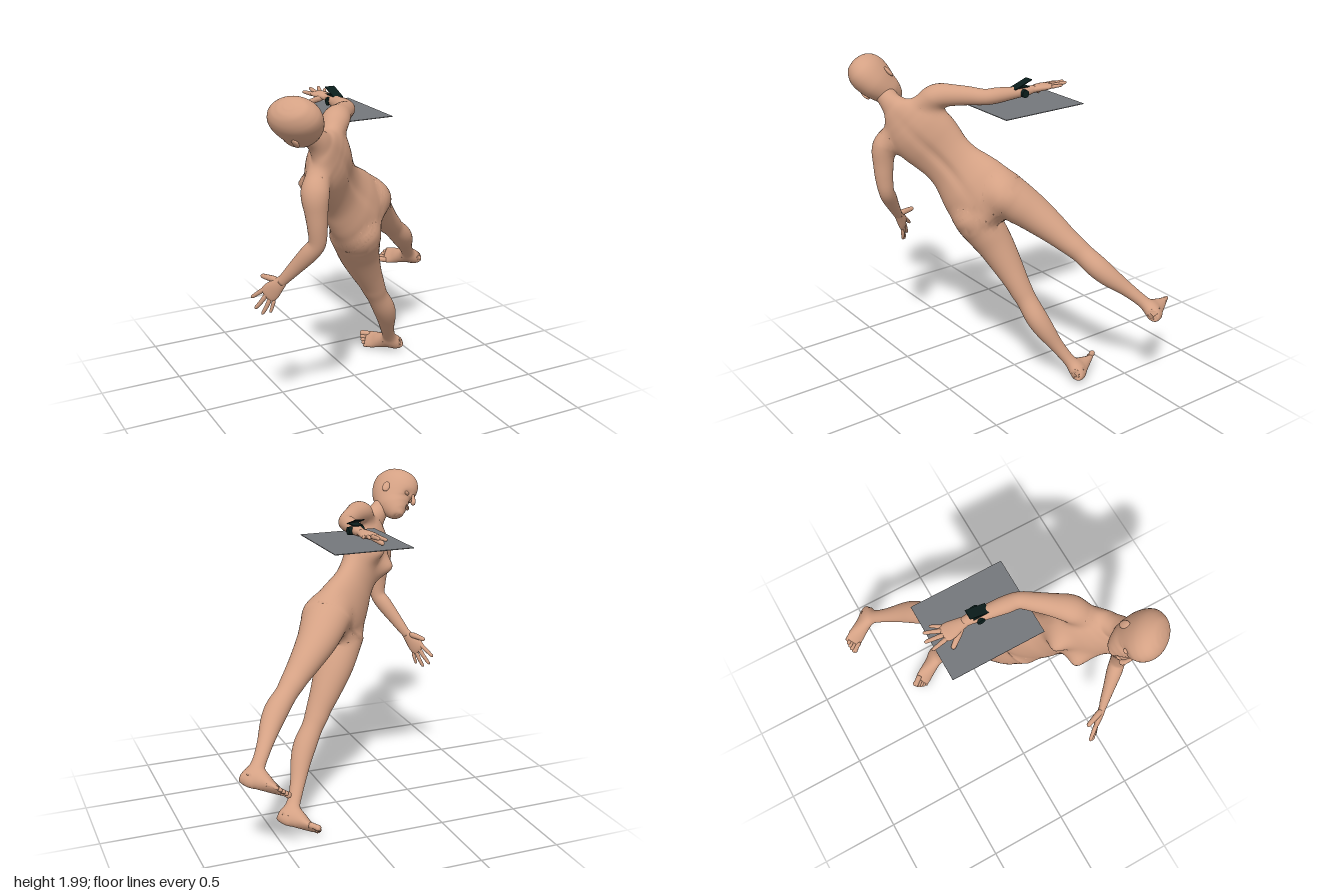
import * as THREE from 'three';

const V = (x, y, z) => new THREE.Vector3(x, y, z);
const { clamp, smoothstep } = THREE.MathUtils;

// Oval rings along a smooth path through sections [x, y, z, halfWidth, halfDepth];
// 'ref' is the direction in which halfDepth is measured.
function sweep(sections, ref, steps = 4) {
  const path = new THREE.CatmullRomCurve3(sections.map(s => V(s[0], s[1], s[2])), false, 'catmullrom');
  const size = new THREE.CatmullRomCurve3(sections.map(s => V(s[3], s[4], 0)), false, 'catmullrom');
  const count = (sections.length - 1) * steps;
  return Array.from({ length: count + 1 }, (_, i) => {
    const t = path.getTangent(i / count), r = size.getPoint(i / count);
    const s = ref.clone().cross(t).normalize();
    return { c: path.getPoint(i / count), t, s, n: t.clone().cross(s), w: r.x, d: r.y };
  });
}

// Skin over the rings; 'shape' may move a point and return its normal
function cover(rings, sides = 24, shape = () => null) {
  const pos = [], index = [], normals = [];
  const push = p => { normals.push(shape(p)); pos.push(p.x, p.y, p.z); };
  for (const { c, s, n, w, d } of rings)
    for (let j = 0; j < sides; j++) {
      const a = j / sides * Math.PI * 2;
      push(c.clone().addScaledVector(s, Math.cos(a) * w).addScaledVector(n, Math.sin(a) * d));
    }
  const end = rings.length - 1, first = rings.length * sides;
  push(rings[0].c.clone());
  push(rings[end].c.clone());
  for (let j = 0; j < sides; j++) {
    const k = (j + 1) % sides;
    for (let a = j, b = k; a < end * sides; a += sides, b += sides)
      index.push(a, b, b + sides, a, b + sides, a + sides);
    index.push(first, k, j, first + 1, end * sides + j, end * sides + k);
  }
  const g = new THREE.BufferGeometry();
  g.setAttribute('position', new THREE.Float32BufferAttribute(pos, 3));
  g.setIndex(index);
  g.computeVertexNormals();
  normals.forEach((n, i) => n && g.attributes.normal.setXYZ(i, n.x, n.y, n.z));
  return g;
}

// Approximate distance from a point to a swept form
function distance(rings, p) {
  let best = 9, last = 0;
  rings.forEach((b, i) => {
    const along = p.clone().sub(b.c).dot(b.t), a = rings[i - 1];
    if (a && last >= 0 && along <= 0) {
      const f = last / (last - along || 1), mix = (x, y) => x + (y - x) * f;
      const q = p.clone().sub(a.c.clone().lerp(b.c, f)), w = mix(a.w, b.w), d = mix(a.d, b.d);
      const u = q.dot(a.s) / w, v = q.dot(a.n) / d, g = Math.hypot(u, v);
      best = Math.min(best, g * (g - 1) / (Math.hypot(u / w, v / d) || 1));
    }
    last = along;
  });
  return best;
}

// Moves points near a joint onto a soft fillet of size k between the forms
function fillet(forms, own, k = 0.055) {
  const field = p => forms.map(f => distance(f, p)).reduce((a, b) =>
    Math.min(a, b) - Math.max(k - Math.abs(a - b), 0) ** 2 / (4 * k));
  const slope = (p, e) => field(p.clone().add(e)) - field(p.clone().sub(e));
  return p => {
    const near = Math.min(...forms.filter(f => f !== own).map(f => distance(f, p)));
    if (Math.abs(near) > k) return null;
    const weight = clamp((near + k) / (k * 0.5), 0, 1), n = V(0, 0, 0);
    for (let i = 0; i < 4; i++) {
      n.set(slope(p, V(2e-3, 0, 0)), slope(p, V(0, 2e-3, 0)), slope(p, V(0, 0, 2e-3))).normalize();
      p.addScaledVector(n, -weight * clamp(field(p), -0.02, 0.02));
    }
    return weight === 1 ? n : null;
  };
}

export function createModel() {
  const material = (name, color) => Object.assign(new THREE.MeshStandardMaterial({ color }), { name });
  const skin = material('skin', 0xd4a184), slate = material('slate grey', 0x74777b), black = material('green black', 0x0a1d1b);
  const group = (parent, name) => { const g = new THREE.Group(); g.name = name; parent?.add(g); return g; };
  const add = (parent, name, geo, mat = skin) => {
    const m = Object.assign(new THREE.Mesh(geo, mat), { name });
    parent.add(m);
    return m;
  };
  const blob = (parent, name, at, radii, turn = 0) => {
    const m = add(parent, name, new THREE.SphereGeometry(1, 24, 16).scale(...radii).rotateY(turn));
    m.position.set(...at);
  };
  const root = group(null, 'tiltedFigure');

  // The figure is modelled upright (x = its left, z = its front), then leaned over sideways
  const body = group(root, 'body');
  const L = V(-0.528, -0.707, 0.470), U = V(-0.528, 0.707, 0.470), F = V(-0.665, 0, -0.747);
  body.setRotationFromMatrix(new THREE.Matrix4().makeBasis(L, U, F));
  body.position.copy(L).multiplyScalar(-0.71);
  const front = V(0, 0, 1), up = V(0, 1, 0);
  const bump = (v, c, r) => Math.exp(-(((v - c) / r) ** 2));

  // Torso and neck
  const torso = sweep([
    [0, 0.785, -0.085, 0.03, 0.05], [0, 0.83, -0.087, 0.12, 0.105], [0, 0.89, -0.09, 0.205, 0.135], [0, 0.96, -0.08, 0.232, 0.146],
    [0, 1.04, -0.07, 0.228, 0.138], [0, 1.12, -0.06, 0.205, 0.122], [0, 1.20, -0.055, 0.179, 0.107], [0, 1.28, -0.052, 0.173, 0.104],
    [0, 1.36, -0.05, 0.185, 0.11], [0, 1.44, -0.053, 0.198, 0.118], [0, 1.52, -0.062, 0.202, 0.116], [0, 1.58, -0.072, 0.192, 0.104],
    [0, 1.63, -0.082, 0.168, 0.086], [0, 1.67, -0.086, 0.122, 0.071], [0, 1.705, -0.08, 0.084, 0.064], [0, 1.75, -0.07, 0.064, 0.062],
    [0, 1.80, -0.05, 0.060, 0.062], [0, 1.85, -0.03, 0.056, 0.056],
  ], front);

  // Limbs: legs swing a little to the figure's left, the left arm is held further back
  const stand = s => ([x, y, z, w, d]) => {
    const t = smoothstep(-y, -0.8, 0.2);
    return [s * x + 0.034 * t, y + 0.03 * t, z - (s > 0 ? 0.024 * t : 0), w, d];
  };
  const reach = s => ([x, y, z, w, d]) => {
    const held = s > 0 ? smoothstep(x, 0.15, 0.45) : 0, hand = s > 0 ? smoothstep(x, 0.56, 0.72) : 0;
    return [s * x + 0.02 * hand, y - 0.035 * hand, z - 0.065 * held - 0.015 * hand, w, d];
  };
  const dorsal = s => V(s * 0.707, 0.707, 0);
  const legs = [1, -1].map(s => sweep([
    [0.095, 1.06, -0.08, 0.025, 0.03], [0.110, 0.99, -0.083, 0.085, 0.105], [0.125, 0.91, -0.089, 0.120, 0.152],
    [0.137, 0.82, -0.080, 0.124, 0.143], [0.16, 0.70, -0.072, 0.111, 0.124], [0.19, 0.55, -0.08, 0.091, 0.099],
    [0.213, 0.43, -0.092, 0.074, 0.081], [0.228, 0.36, -0.097, 0.068, 0.074], [0.24, 0.29, -0.104, 0.063, 0.067],
    [0.258, 0.18, -0.117, 0.066, 0.073], [0.273, 0.08, -0.114, 0.060, 0.066], [0.294, -0.05, -0.095, 0.043, 0.049],
    [0.308, -0.16, -0.082, 0.036, 0.042], [0.314, -0.23, -0.08, 0.037, 0.045], [0.316, -0.28, -0.08, 0.03, 0.04],
  ].map(stand(s)), front));
  const arms = [1, -1].map(s => sweep([
    [0.10, 1.615, -0.078, 0.02, 0.02], [0.155, 1.613, -0.074, 0.058, 0.052], [0.208, 1.597, -0.068, 0.077, 0.068],
    [0.255, 1.570, -0.061, 0.076, 0.070], [0.31, 1.518, -0.05, 0.064, 0.062], [0.37, 1.455, -0.037, 0.055, 0.055],
    [0.43, 1.385, -0.02, 0.048, 0.047], [0.475, 1.340, 0.03, 0.050, 0.046], [0.53, 1.285, 0.10, 0.042, 0.036],
    [0.58, 1.235, 0.165, 0.033, 0.028], [0.607, 1.212, 0.205, 0.028, 0.022],
  ].map(reach(s)), dorsal(s)));

  // Chest forms and the groove of the spine are shaped into the torso
  const forms = [torso, ...legs, ...arms], joinTorso = fillet(forms, torso);
  add(body, 'torso', cover(torso, 64, p => {
    const n = joinTorso(p);
    if (p.z > -0.02) p.z += 0.066 * bump(Math.abs(p.x), 0.1, 0.06) * bump(p.y, 1.41, 0.066);
    if (p.z < -0.09) p.z += 0.014 * bump(p.x, 0, 0.03) * bump(p.y, 1.3, 0.25);
    return n;
  }));

  // Head, with shallow eye sockets
  const head = group(body, 'head');
  add(head, 'skull', cover(sweep([
    [0, 1.737, 0.08, 0.015, 0.015], [0, 1.745, 0.075, 0.034, 0.036], [0, 1.765, 0.058, 0.056, 0.062], [0, 1.80, 0.033, 0.078, 0.091],
    [0, 1.84, 0.01, 0.090, 0.120], [0, 1.90, -0.006, 0.105, 0.144], [0, 1.96, -0.012, 0.110, 0.150], [0, 2.005, -0.014, 0.101, 0.137],
    [0, 2.04, -0.015, 0.080, 0.108], [0, 2.06, -0.015, 0.054, 0.072], [0, 2.07, -0.015, 0.02, 0.026],
  ], front, 6), 48, p => {
    if (p.z > 0.05) p.z -= 0.015 * bump(Math.abs(p.x), 0.042, 0.024) * bump(p.y, 1.888, 0.02);
  }));
  add(head, 'nose', cover(sweep([
    [0, 1.905, 0.128, 0.008, 0.008], [0, 1.88, 0.137, 0.010, 0.012], [0, 1.855, 0.146, 0.014, 0.015],
    [0, 1.842, 0.145, 0.018, 0.015], [0, 1.835, 0.138, 0.010, 0.010],
  ], front), 14));
  blob(head, 'upperLip', [0, 1.811, 0.120], [0.026, 0.006, 0.008]);
  blob(head, 'lowerLip', [0, 1.799, 0.118], [0.022, 0.007, 0.008]);

  [1, -1].forEach((s, i) => {
    const side = s > 0 ? 'left' : 'right', leg = legs[i], arm = arms[i];
    blob(head, 'eyelid', [s * 0.042, 1.888, 0.102], [0.019, 0.011, 0.014]);
    blob(head, 'ear', [s * 0.106, 1.882, -0.022], [0.012, 0.036, 0.023], -s * 0.35);

    // Leg, foot and toes
    const instep = sweep([
      [0.318, -0.287, -0.146, 0.014, 0.018], [0.318, -0.288, -0.136, 0.034, 0.038], [0.317, -0.281, -0.10, 0.044, 0.056],
      [0.317, -0.275, -0.05, 0.044, 0.062], [0.317, -0.288, 0.0, 0.049, 0.05], [0.317, -0.303, 0.05, 0.056, 0.034],
      [0.317, -0.312, 0.09, 0.057, 0.023], [0.317, -0.315, 0.112, 0.048, 0.015],
    ].map(stand(s)), up);
    const hip = fillet(forms, leg), ankle = [leg, instep], foot = group(body, side + 'Foot');
    const legJoin = fillet(ankle, leg, 0.03);
    add(body, side + 'Leg', cover(leg, 36, p => hip(p) || legJoin(p)));
    add(foot, 'instep', cover(instep, 32, fillet(ankle, instep, 0.03)));
    [[0.279, 0.165, 0.019], [0.304, 0.160, 0.013], [0.325, 0.150, 0.012], [0.344, 0.138, 0.012], [0.362, 0.122, 0.012]]
      .forEach(([x, tip, r]) => add(foot, 'toe', cover(sweep([
        [x, -0.310, tip - 0.075, r, r], [x, -0.313, tip - 0.035, r * 0.92, r * 0.9], [x, -0.317, tip - 0.014, r * 1.05, r],
        [x, -0.319, tip - 0.004, r * 0.75, r * 0.7], [x, -0.319, tip, r * 0.25, r * 0.25],
      ].map(stand(s)), up), 12)));

    // Arm, palm, thumb and fingers (base, tip, thickness)
    const hand = group(body, side + 'Hand');
    add(body, side + 'Arm', cover(arm, 28, fillet(forms, arm)));
    add(hand, 'palm', cover(sweep([
      [0.590, 1.226, 0.18, 0.027, 0.021], [0.62, 1.2, 0.228, 0.041, 0.022], [0.64, 1.18, 0.265, 0.052, 0.020],
      [0.655, 1.166, 0.293, 0.051, 0.016], [0.662, 1.160, 0.306, 0.040, 0.010],
    ].map(reach(s)), dorsal(s))));
    [[[0.598, 1.212, 0.235], [0.573, 1.171, 0.345], 0.0175], [[0.636, 1.181, 0.308], [0.674, 1.140, 0.404], 0.013],
      [[0.655, 1.165, 0.300], [0.721, 1.114, 0.380], 0.013], [[0.669, 1.152, 0.283], [0.743, 1.099, 0.334], 0.0125],
      [[0.677, 1.144, 0.262], [0.727, 1.106, 0.285], 0.0105]].forEach(([a, b, r], f) => add(hand, f ? 'finger' : 'thumb', cover(sweep(
      [[-0.1, 0.8], [0.15, 1.05], [0.5, 0.95], [0.85, 0.8], [0.96, 0.55], [1, 0.15]]
        .map(([t, k]) => [...V(...a).lerp(V(...b), t).toArray(), r * k, r * k]).map(reach(s)), dorsal(s)), 12)));
  });

  // Wrist device: side hub, flat face and raised screen
  const device = group(root, 'wristDevice');
  const hub = add(device, 'hub', new THREE.CylinderGeometry(0.024, 0.024, 0.098, 20).rotateZ(Math.PI / 2), black);
  hub.position.set(-0.079, 1.783, -0.106);
  add(device, 'face', new THREE.BoxGeometry(0.06, 0.006, 0.085), black).position.set(-0.08, 1.818, -0.103);
  const screen = add(device, 'screen', new THREE.BoxGeometry(0.06, 0.005, 0.128).rotateX(0.34), black);
  screen.position.set(-0.08, 1.835, -0.106);

  // Flat panel below the outstretched arm
  add(root, 'panel', new THREE.BoxGeometry(0.48, 0.004, 0.566), slate).position.set(-0.08, 1.72, -0.108);
  return root;
}
